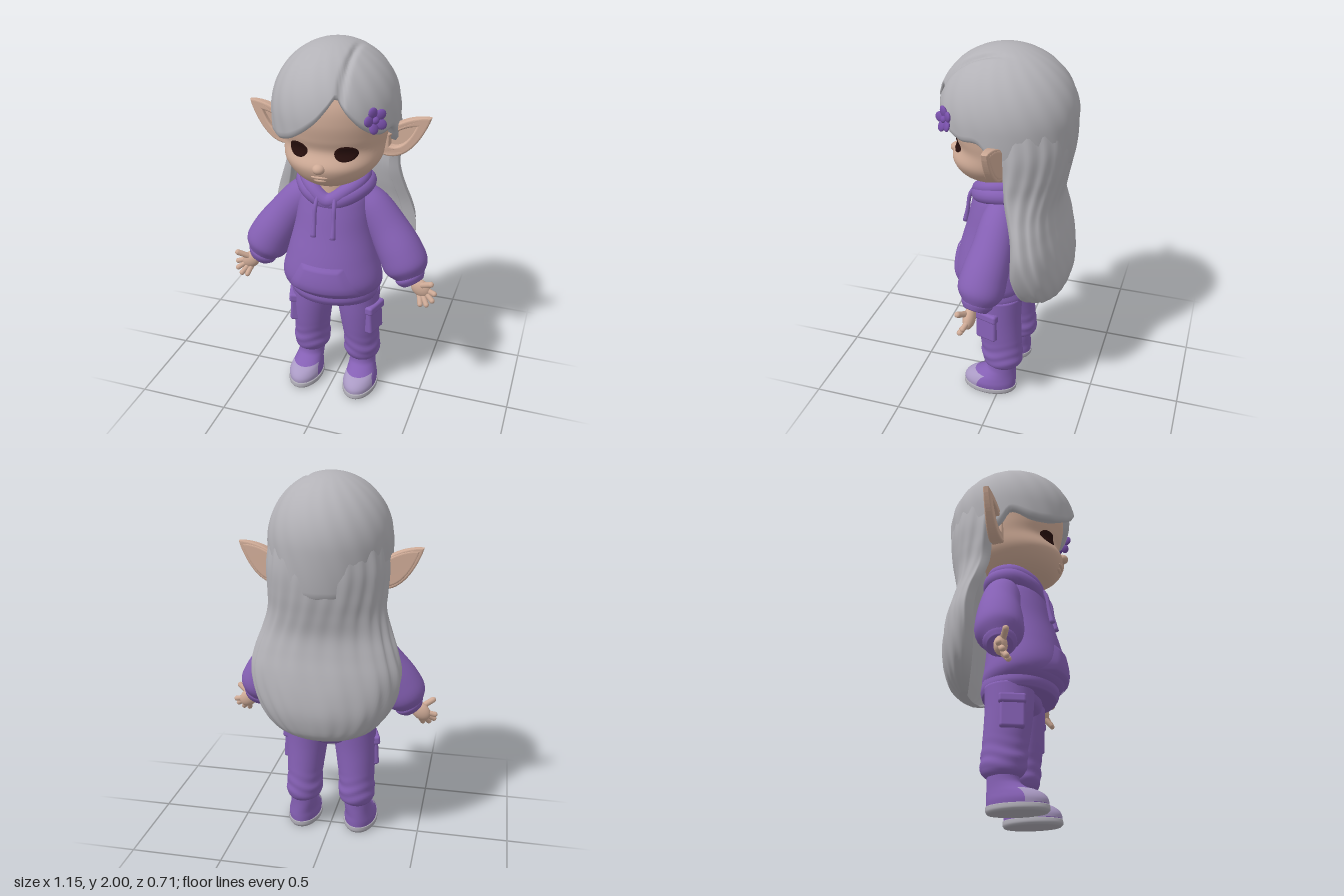
import * as THREE from 'three';
import { RoundedBoxGeometry } from 'three/addons/geometries/RoundedBoxGeometry.js';

const mat = (name, color, side = THREE.FrontSide) => {
  const m = new THREE.MeshStandardMaterial({ color, side });
  m.name = name;
  return m;
};

// smooth interpolation of table rows keyed on their first column
function sample(table, t) {
  const n = table.length - 1;
  let i = 0;
  while (i < n - 1 && t > table[i + 1][0]) i++;
  const p = table[i], q = table[i + 1], o = table[Math.max(i - 1, 0)], r = table[Math.min(i + 2, n)];
  const d = q[0] - p[0], s = THREE.MathUtils.clamp((t - p[0]) / d, 0, 1);
  return p.map((_, k) => {
    if (k === 0) return t;
    const m0 = (q[k] - o[k]) / (q[0] - o[0]) * d, m1 = (r[k] - p[k]) / (r[0] - p[0]) * d;
    return (2 * s ** 3 - 3 * s * s + 1) * p[k] + (s ** 3 - 2 * s * s + s) * m0
      + (3 * s * s - 2 * s ** 3) * q[k] + (s ** 3 - s * s) * m1;
  });
}

// surface from fn(u, row) -> [x, y, z]; u runs anticlockwise, rows run upward
function grid(nu, nv, fn, wrap = true) {
  const pos = [], idx = [], w = wrap ? nu : nu + 1;
  for (let j = 0; j <= nv; j++) for (let i = 0; i < w; i++) pos.push(...fn(i / nu, j));
  for (let j = 0; j < nv; j++) for (let i = 0; i < nu; i++) {
    const a = j * w + i, b = j * w + (i + 1) % w;
    idx.push(a, b, b + w, a, b + w, a + w);
  }
  const g = new THREE.BufferGeometry();
  g.setAttribute('position', new THREE.Float32BufferAttribute(pos, 3));
  g.setIndex(idx);
  g.computeVertexNormals();
  return g;
}

// closed loft through rows [y, halfWidth, frontZ, backZ, centreX]
const ellipse = (r, u) => {
  const a = u * Math.PI * 2;
  return [(r[4] || 0) + r[1] * Math.sin(a), (r[2] + r[3]) / 2 + (r[2] - r[3]) / 2 * Math.cos(a)];
};
function loft(table, { section = ellipse, nu = 40, nv = 36, ripple = () => 0 } = {}) {
  const y0 = table[0][0], y1 = table[table.length - 1][0];
  return grid(nu, nv, (u, j) => {
    const y = y0 + (y1 - y0) * THREE.MathUtils.clamp((j - 2) / (nv - 4), 0, 1);
    const e = Math.min(j, nv - j), k = e === 0 ? 0 : e === 1 ? 0.93 : 1 + ripple(u, y);
    const r = sample(table, y), [x, z] = section(r, u), cx = r[4] || 0, cz = (r[2] + r[3]) / 2;
    return [cx + (x - cx) * k, y, cz + (z - cz) * k];
  });
}
const frontZ = (table, x, y) => {
  const r = sample(table, y);
  return (r[2] + r[3]) / 2 + (r[2] - r[3]) / 2 * Math.sqrt(Math.max(0, 1 - (x / r[1]) ** 2));
};
// thin plate lying on the front of a loft
const patch = (table, cx, y0, y1, half, lift, n = 24) => grid(n, n, (u, j) => {
  const v = j / n, y = y0 + (y1 - y0) * v, x = cx + (u * 2 - 1) * half(v);
  const edge = Math.min(1, 8 * Math.min(u, 1 - u, v, 1 - v));
  return [x, y, frontZ(table, x, y) + 0.001 + (lift - 0.001) * edge];
}, false);

// round limb along points with radii at each point, closed at both ends
function limb(points, radii, nv = 30, nu = 28) {
  const curve = new THREE.CatmullRomCurve3(points.map(p => new THREE.Vector3(...p)));
  const rad = radii.map((r, i) => [i / (radii.length - 1), r]);
  return grid(nu, nv, (u, j) => {
    const v = THREE.MathUtils.clamp((j - 1) / (nv - 2), 0, 1), a = u * Math.PI * 2;
    const r = j === 0 || j === nv ? 0 : sample(rad, v)[1], t = curve.getTangent(v);
    const n = new THREE.Vector3().crossVectors(t, new THREE.Vector3(0, 0, 1)).normalize();
    const b = new THREE.Vector3().crossVectors(t, n);
    return curve.getPoint(v).addScaledVector(n, r * Math.cos(a)).addScaledVector(b, r * Math.sin(a)).toArray();
  });
}
const ball = (p, s) => new THREE.SphereGeometry(1, 24, 16).scale(...s).translate(...p);
function capsule(a, b, r) {
  const p = new THREE.Vector3(...a), q = new THREE.Vector3(...b), d = q.clone().sub(p);
  const rot = new THREE.Quaternion().setFromUnitVectors(new THREE.Vector3(0, 1, 0), d.clone().normalize());
  const c = p.add(q).multiplyScalar(0.5);
  return new THREE.CapsuleGeometry(r, d.length(), 6, 12).applyQuaternion(rot).translate(c.x, c.y, c.z);
}
function mirrored(geo) {
  const g = geo.clone();
  if (!g.index) g.setIndex([...Array(g.attributes.position.count).keys()]);
  g.scale(-1, 1, 1);
  const a = g.index.array;
  for (let i = 0; i < a.length; i += 3) [a[i], a[i + 1]] = [a[i + 1], a[i]];
  return g;
}

export function createModel() {
  const model = new THREE.Group();
  const hair = mat('silver hair', 0xb3b2b7), skin = mat('skin', 0xcfab97), cloth = mat('purple cloth', 0x8560b4);
  const dark = mat('dark eye', 0x260e0c, THREE.DoubleSide), petal = mat('flower purple', 0x7850aa);
  const lilac = mat('lilac toe', 0xaa9ac4, THREE.DoubleSide), rubber = mat('sole grey', 0xadabb4);
  const add = (name, geo, m) => {
    const mesh = new THREE.Mesh(geo, m);
    mesh.name = name;
    model.add(mesh);
  };
  const pair = (name, geo, m) => { add(name + 'Left', geo, m); add(name + 'Right', mirrored(geo), m); };

  // head and face
  const head = [[1.285, 0.06, 0.15, 0], [1.305, 0.12, 0.205, -0.06], [1.34, 0.18, 0.25, -0.12], [1.39, 0.228, 0.28, -0.17],
    [1.43, 0.25, 0.285, -0.2], [1.5, 0.262, 0.252, -0.22], [1.56, 0.272, 0.268, -0.23], [1.65, 0.28, 0.285, -0.24],
    [1.75, 0.27, 0.275, -0.23], [1.85, 0.22, 0.22, -0.2], [1.92, 0.12, 0.12, -0.1]];
  add('head', loft(head, { nu: 56, nv: 60 }), skin);
  add('nose', ball([0, 1.425, 0.28], [0.032, 0.026, 0.032]), skin);
  add('upperLip', ball([0, 1.378, 0.268], [0.045, 0.011, 0.014]), skin);
  add('lowerLip', ball([0, 1.358, 0.256], [0.035, 0.011, 0.014]), skin);
  pair('eye', patch(head, 0.122, 1.462, 1.54, v => 0.054 * Math.sqrt(Math.max(0, 1 - (2 * v - 1) ** 2)), 0.006), dark);
  add('neck', new THREE.CylinderGeometry(0.1, 0.1, 0.2, 32).translate(0, 1.24, 0.04), skin);

  // pointed ears: a raised rim around a recessed plate
  const earShape = (s) => {
    const p = (x, y) => [0.33 + (x - 0.33) * s, 1.535 + (y - 1.535) * s];
    const shape = new THREE.Shape();
    shape.moveTo(...p(0.24, 1.44));
    shape.bezierCurveTo(...p(0.34, 1.40), ...p(0.42, 1.50), ...p(0.468, 1.628));
    shape.bezierCurveTo(...p(0.39, 1.625), ...p(0.32, 1.6), ...p(0.24, 1.53));
    shape.closePath();
    return shape;
  };
  const rim = earShape(1);
  rim.holes.push(earShape(0.68));
  const earPart = (shape, depth, z) => {
    const g = new THREE.ExtrudeGeometry(shape, { depth, bevelSize: 0.01, bevelThickness: 0.012, bevelSegments: 4, curveSegments: 20 });
    g.translate(0, 0, z);
    const p = g.attributes.position;
    for (let i = 0; i < p.count; i++) p.setZ(i, p.getZ(i) * (1 - 2.6 * Math.max(0, p.getX(i) - 0.26)) - 0.03);
    g.computeVertexNormals();
    return g;
  };
  pair('earRim', earPart(rim, 0.05, -0.02), skin);
  pair('earInner', earPart(earShape(0.85), 0.012, -0.025), skin);

  // hair cap with a side parting; hairline height by angle from the front
  const line = [[-180, 1.42], [-110, 1.44], [-90, 1.52], [-80, 1.59], [-60, 1.555], [-40, 1.56], [-20, 1.6], [0, 1.68], [12, 1.755],
    [20, 1.8], [28, 1.73], [42, 1.65], [60, 1.6], [80, 1.6], [92, 1.52], [110, 1.44], [180, 1.42]];
  const capRows = 46;
  add('hairCap', grid(120, capRows, (u, j) => {
    const deg = u * 360 - 180, a = deg * Math.PI / 180, edge = sample(line, deg)[1];
    const s = Math.max(0, (j - 2) / (capRows - 2));
    const y = j === 0 ? edge + 0.015 : j === 1 ? edge - 0.004 : 2 - (2 - edge - 0.012) * (1 - s) ** 2;
    let k = y > 1.66 ? Math.sqrt(Math.max(0, 1 - ((y - 1.66) / 0.34) ** 2)) : 1 - 1.1 * (1.66 - y) ** 2;
    if (j === 0) k *= 0.76;
    if (j === 1) k *= 0.965;
    let x = 0.32 * k * Math.sin(a), z = 0.355 * k * Math.cos(a);
    const front = THREE.MathUtils.smoothstep(z, -0.1, 0.1);
    const groove = 1 - 0.045 * front * Math.exp(-(((x - 0.115) / 0.014) ** 2));
    const strand = 1 + 0.006 * Math.sin(a * 19 + y * 22) * Math.min(1, k * 1.5) ;
    x *= groove * strand; z *= groove * strand;
    return [x, y - (1 - groove) * 0.3, z];
  }), hair);

  // long back hair, a thick curved curtain
  const curtain = [[0.65, 0.13, -0.22, -0.28], [0.68, 0.22, -0.19, -0.32], [0.74, 0.3, -0.16, -0.345], [0.82, 0.355, -0.14, -0.358],
    [0.92, 0.39, -0.13, -0.35], [1.02, 0.395, -0.13, -0.33], [1.12, 0.37, -0.12, -0.305], [1.22, 0.335, -0.095, -0.292],
    [1.32, 0.31, -0.07, -0.31], [1.42, 0.31, -0.06, -0.33], [1.55, 0.312, -0.05, -0.342], [1.72, 0.29, -0.03, -0.33]];
  const crescent = (r, u) => {
    const outer = u < 0.5, a = (outer ? u : 1 - u) * 2 * Math.PI;
    const depth = r[3] - r[2], s = Math.abs(Math.sin(a));
    return outer ? [r[1] * Math.cos(a), r[2] + depth * s ** 0.85]
      : [r[1] * 0.86 * Math.cos(a), r[2] + 0.01 + depth * 0.35 * s];
  };
  add('backHair', loft(curtain, { section: crescent, nu: 140, nv: 60,
    ripple: (u, y) => 0.014 * Math.sin(u * 150 + 3 * Math.sin(y * 7)) + 0.01 * Math.sin(u * 67 - y * 5) }), hair);

  // flower clip
  const clip = new THREE.Group();
  clip.name = 'flowerClip';
  for (let i = 0; i < 5; i++) {
    const a = i * Math.PI * 0.4 + 0.3;
    const g = ball([0, 0.038, 0], [0.026, 0.03, 0.012]).rotateX(0.25).rotateZ(a);
    clip.add(Object.assign(new THREE.Mesh(g, petal), { name: 'petal' }));
  }
  clip.add(Object.assign(new THREE.Mesh(ball([0, 0, 0.012], [0.018, 0.018, 0.014]), petal), { name: 'flowerCentre' }));
  clip.position.set(0.26, 1.69, 0.232);
  clip.lookAt(1.06, 1.85, 0.9);
  model.add(clip);

  // hoodie body, hem, pouch, hood and drawstrings
  const torso = [[0.665, 0.24, 0.235, -0.15], [0.7, 0.268, 0.27, -0.155], [0.76, 0.272, 0.284, -0.145], [0.88, 0.243, 0.262, -0.135],
    [1.02, 0.21, 0.222, -0.13], [1.15, 0.19, 0.188, -0.125], [1.22, 0.17, 0.16, -0.115], [1.26, 0.13, 0.11, -0.1]];
  add('hoodieBody', loft(torso, { nu: 56 }), cloth);
  add('hoodieHem', loft([[0.615, 0.236, 0.222, -0.155], [0.645, 0.247, 0.238, -0.163], [0.685, 0.243, 0.238, -0.158]], { nu: 56, nv: 14 }), cloth);
  add('pouchPocket', patch(torso, 0, 0.695, 0.865, v => 0.215 - 0.1 * v ** 0.8, 0.012), cloth);
  const loop = (pts, r) => new THREE.TubeGeometry(new THREE.CatmullRomCurve3(pts.map(p => new THREE.Vector3(...p)), true), 72, r, 16, true);
  add('hoodCollar', loop([[0, 1.2, 0.152], [0.09, 1.255, 0.125], [0.15, 1.3, 0.04], [0.125, 1.31, -0.06], [0, 1.305, -0.1],
    [-0.125, 1.31, -0.06], [-0.15, 1.3, 0.04], [-0.09, 1.255, 0.125]], 0.038), cloth);
  add('hoodFold', loop([[0, 1.19, 0.14], [0.1, 1.225, 0.12], [0.165, 1.26, 0.03], [0.14, 1.26, -0.07], [0, 1.25, -0.11],
    [-0.14, 1.26, -0.07], [-0.165, 1.26, 0.03], [-0.1, 1.225, 0.12]], 0.046), cloth);
  pair('drawstring', limb([[0.045, 1.23, 0.17], [0.05, 1.18, 0.197], [0.052, 1.1, 0.21], [0.052, 1.02, 0.226]], [0.01, 0.011, 0.011, 0.015], 20, 12), cloth);

  // sleeves, cuffs and hands
  pair('sleeve', limb([[0.12, 1.2, -0.01], [0.19, 1.135, -0.01], [0.28, 1.02, 0], [0.36, 0.9, 0.02], [0.4, 0.82, 0.03], [0.425, 0.765, 0.04]],
    [0.07, 0.095, 0.107, 0.12, 0.118, 0.075]), cloth);
  pair('cuff', limb([[0.41, 0.79, 0.035], [0.425, 0.765, 0.04], [0.442, 0.738, 0.045]], [0.074, 0.083, 0.062], 14), cloth);
  pair('palm', ball([0, 0, 0], [0.06, 0.045, 0.032]).rotateZ(-0.75).translate(0.487, 0.718, 0.06), skin);
  const fingers = [[0.563, 0.7, 0.07], [0.557, 0.668, 0.088], [0.53, 0.645, 0.1], [0.497, 0.642, 0.1]];
  fingers.forEach((tip, i) => pair('finger' + (i + 1), capsule([0.52 - i * 0.013, 0.712 - i * 0.008, 0.06], tip, 0.0145), skin));
  pair('thumb', capsule([0.49, 0.74, 0.07], [0.548, 0.773, 0.1], 0.016), skin);

  // trousers with soft folds and cargo pockets
  add('hips', loft([[0.535, 0.09, 0.09, -0.07], [0.57, 0.2, 0.135, -0.11], [0.64, 0.23, 0.15, -0.13]], { nv: 16 }), cloth);
  const leg = [[0.175, 0.07, 0.065, -0.095, 0.155], [0.195, 0.092, 0.09, -0.118, 0.152], [0.24, 0.102, 0.106, -0.126, 0.15],
    [0.31, 0.098, 0.11, -0.12, 0.148], [0.42, 0.106, 0.126, -0.113, 0.142], [0.52, 0.114, 0.136, -0.11, 0.135], [0.64, 0.122, 0.14, -0.115, 0.125]];
  const folds = (u, y) => 0.03 * Math.sin(y * 95 + 2 * Math.sin(u * 12.566)) * Math.max(0, 1 - Math.abs(y - 0.26) / 0.12);
  pair('trouserLeg', loft(leg, { nv: 48, ripple: folds }), cloth);
  const box = (w, h, d, y) => new RoundedBoxGeometry(w, h, d, 3, 0.014).rotateY(-0.3).rotateZ(0.06).translate(0.228, y, 0.052);
  pair('cargoPocket', box(0.05, 0.15, 0.125, 0.472), cloth);
  pair('cargoFlap', box(0.064, 0.05, 0.138, 0.545), cloth);

  // shoes
  const shoe = [[0.025, 0.088, 0.207, -0.088, 0.163], [0.06, 0.09, 0.205, -0.09, 0.163], [0.09, 0.083, 0.178, -0.09, 0.162],
    [0.12, 0.076, 0.115, -0.09, 0.158], [0.15, 0.073, 0.075, -0.09, 0.155], [0.21, 0.074, 0.065, -0.092, 0.153]];
  pair('shoeUpper', loft(shoe), cloth);
  pair('shoeSole', loft([[0, 0.085, 0.205, -0.085, 0.163], [0.012, 0.095, 0.217, -0.093, 0.163], [0.035, 0.094, 0.215, -0.093, 0.163]], { nv: 12 }), rubber);
  pair('toePatch', grid(28, 14, (u, j) => {
    const y = 0.036 + 0.07 * j / 14, [x, z] = ellipse(sample(shoe, y), (u - 0.5) * 0.38);
    return [0.162 + (x - 0.162) * 1.03, y + 0.003, z + 0.004];
  }, false), lilac);

  return model;
}
